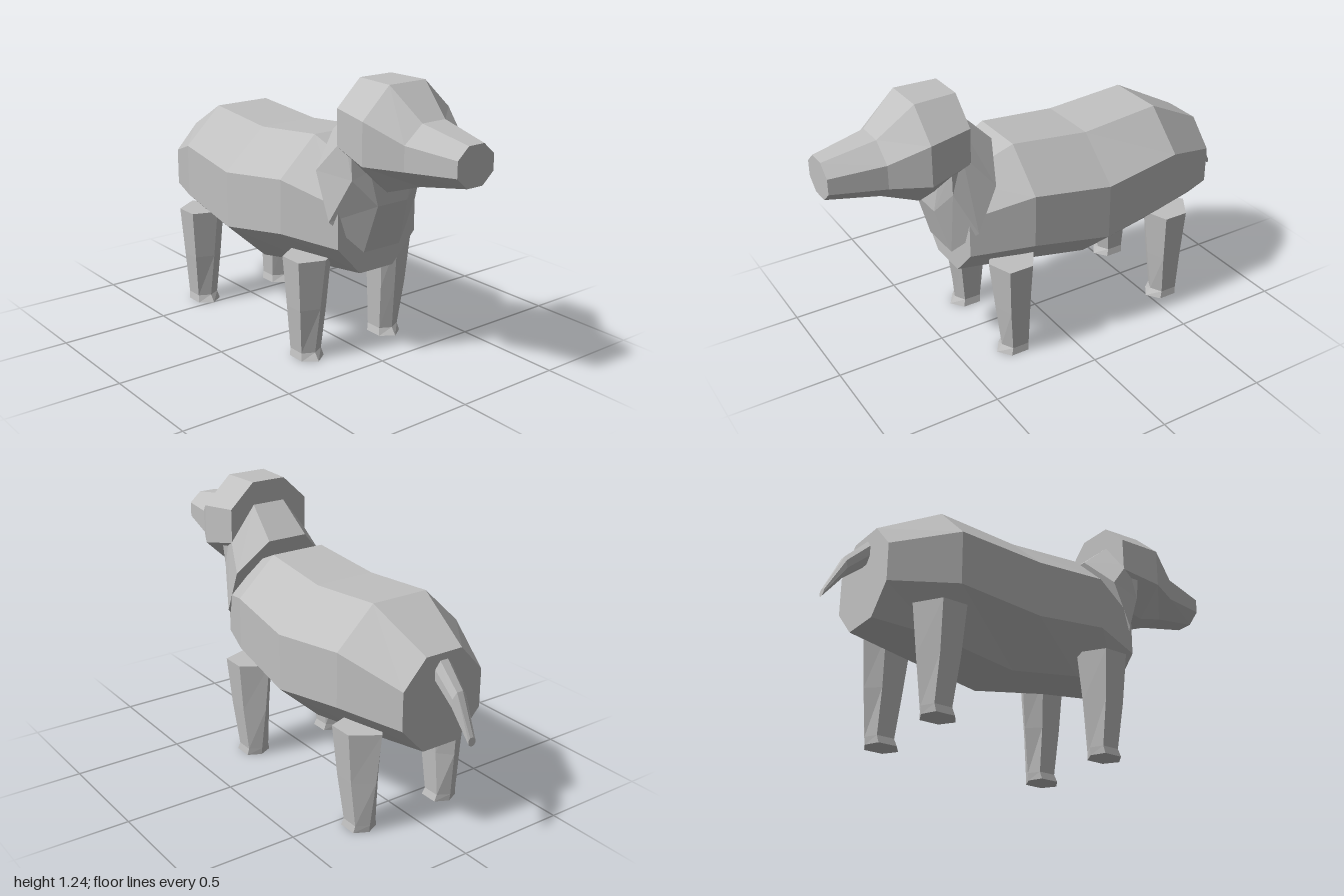
import * as THREE from 'three';

// Skin a list of closed rings (counter-clockwise seen from the end) and cap both ends
function loft(rings) {
  const pos = [];
  const tri = (a, b, c) => pos.push(...a, ...b, ...c);
  const n = rings[0].length;
  for (let i = 0; i < rings.length - 1; i++) {
    for (let j = 0; j < n; j++) {
      const k = (j + 1) % n;
      const a = rings[i], b = rings[i + 1];
      tri(a[j], a[k], b[k]);
      tri(a[j], b[k], b[j]);
    }
  }
  const first = rings[0], last = rings[rings.length - 1];
  for (let j = 1; j < n - 1; j++) {
    tri(first[0], first[j + 1], first[j]);
    tri(last[0], last[j], last[j + 1]);
  }
  const g = new THREE.BufferGeometry();
  g.setAttribute('position', new THREE.Float32BufferAttribute(pos, 3));
  g.computeVertexNormals();
  return g;
}

// Octagon spanning from a bottom (z, y) to a top (z, y), with half width and half flat width
function octagon([zb, yb, zt, yt, half, flat]) {
  const at = (x, t) => [x, yb + (yt - yb) * t, zb + (zt - zb) * t];
  return [
    at(-flat, 0), at(flat, 0), at(half, 0.293), at(half, 0.707),
    at(flat, 1), at(-flat, 1), at(-half, 0.707), at(-half, 0.293),
  ];
}

// Hexagonal leg section with points to the front and back
function legRing([y, xIn, xMid, xOut, zFront, z1, z2, zBack], side, shift) {
  const p = [
    [xMid, zFront], [xOut, z1], [xOut, z2], [xMid, zBack], [xIn, z2], [xIn, z1],
  ].map(([x, z]) => [x * side, y, z + shift]);
  return side < 0 ? p.reverse() : p;
}

export function createModel() {
  const group = new THREE.Group();
  const grey = new THREE.MeshStandardMaterial({ color: 0xc0c0c0, flatShading: true });
  grey.name = 'grey';

  const add = (name, rings) => {
    const mesh = new THREE.Mesh(loft(rings), grey);
    mesh.name = name;
    group.add(mesh);
  };

  // Body, rump to chest
  add('body', [
    [-0.82, 0.41, -0.82, 0.815, 0.2, 0.09],
    [-0.54, 0.385, -0.54, 0.96, 0.31, 0.135],
    [-0.17, 0.325, -0.17, 0.93, 0.34, 0.142],
    [0.19, 0.39, 0.19, 0.965, 0.31, 0.13],
    [0.45, 0.41, 0.45, 0.85, 0.21, 0.09],
  ].map(octagon));

  // Neck, rising from the chest into the head
  add('neck', [
    [0.481, 0.513, 0.273, 1.0, 0.235, 0.097],
    [0.545, 0.725, 0.428, 1.134, 0.19, 0.08],
    [0.54, 0.88, 0.46, 1.19, 0.2, 0.12],
  ].map(octagon));

  // Head and snout, back to front
  add('head', [
    [0.43, 0.86, 0.425, 1.238, 0.2, 0.083],
    [0.615, 0.805, 0.615, 1.238, 0.228, 0.094],
    [0.77, 0.858, 0.77, 1.11, 0.15, 0.06],
    [1.0, 0.9, 1.0, 1.065, 0.095, 0.04],
  ].map(octagon));

  // Tail, tip to root
  add('tail', [
    [-1.0, 0.485, -0.997, 0.52, 0.018, 0.008],
    [-0.91, 0.6, -0.918, 0.685, 0.035, 0.015],
    [-0.81, 0.685, -0.81, 0.795, 0.045, 0.02],
  ].map(octagon));

  // Legs: sole, ankle, knee, top
  const legSections = [
    [0, 0.16, 0.22, 0.28, 0.337, 0.295, 0.21, 0.18],
    [0.033, 0.168, 0.22, 0.274, 0.312, 0.285, 0.205, 0.176],
    [0.24, 0.155, 0.21, 0.295, 0.335, 0.305, 0.21, 0.152],
    [0.465, 0.14, 0.2, 0.313, 0.358, 0.318, 0.205, 0.132],
  ];
  for (const [pair, shift] of [['front', 0], ['hind', -0.83]]) {
    for (const [label, side] of [['Left', 1], ['Right', -1]]) {
      add(`${pair}${label}Leg`, legSections.map((s) => legRing(s, side, shift)));
    }
  }

  return group;
}
